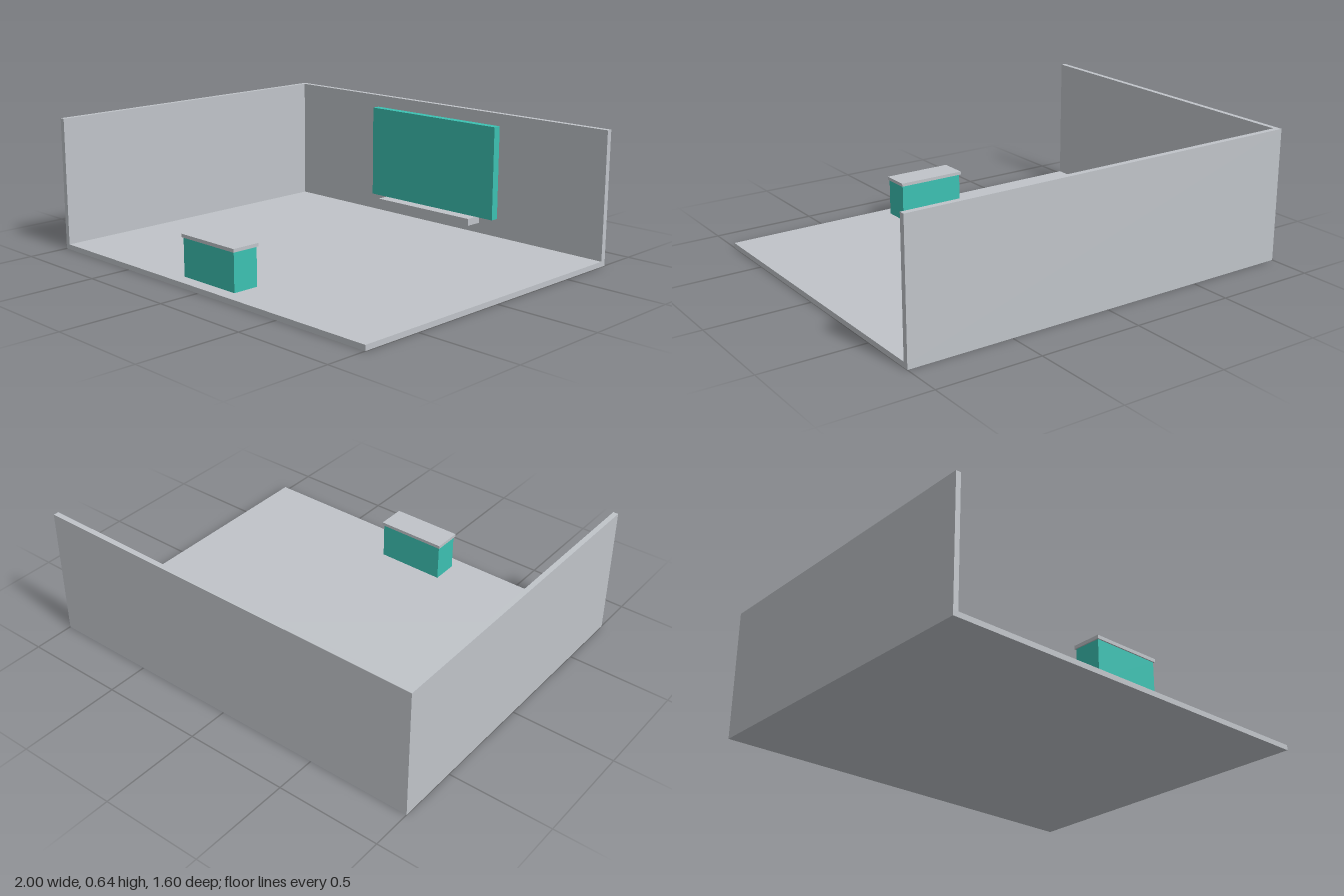
import * as THREE from 'three';

export function createModel() {
  const room = new THREE.Group();
  room.name = 'room';
  const grey = new THREE.MeshStandardMaterial({ name: 'light grey', color: 0xc0c4c9 });
  const teal = new THREE.MeshStandardMaterial({ name: 'teal', color: 0x3cc1b2 });

  // Adds a box given its extents along each axis
  function block(name, material, [x0, x1], [y0, y1], [z0, z1]) {
    const mesh = new THREE.Mesh(new THREE.BoxGeometry(x1 - x0, y1 - y0, z1 - z0), material);
    mesh.name = name;
    mesh.position.set((x0 + x1) / 2, (y0 + y1) / 2, (z0 + z1) / 2);
    room.add(mesh);
  }

  // Shell: floor, back wall and one side wall
  block('floor', grey, [-1, 1], [0, 0.025], [-0.8, 0.8]);
  block('backWall', grey, [-1, 1], [0.025, 0.64], [-0.8, -0.773]);
  block('sideWall', grey, [-1, -0.975], [0.025, 0.64], [-0.773, 0.8]);

  // Wall screen with the ledge below it
  block('screen', teal, [-0.4, 0.4], [0.12, 0.582], [-0.76, -0.72]);
  block('ledge', grey, [-0.3, 0.3], [0.085, 0.12], [-0.747, -0.66]);

  // Counter near the front edge
  block('counterBody', teal, [-0.169, 0.169], [0.025, 0.206], [0.607, 0.736]);
  block('counterTop', grey, [-0.175, 0.175], [0.206, 0.222], [0.601, 0.742]);

  return room;
}
